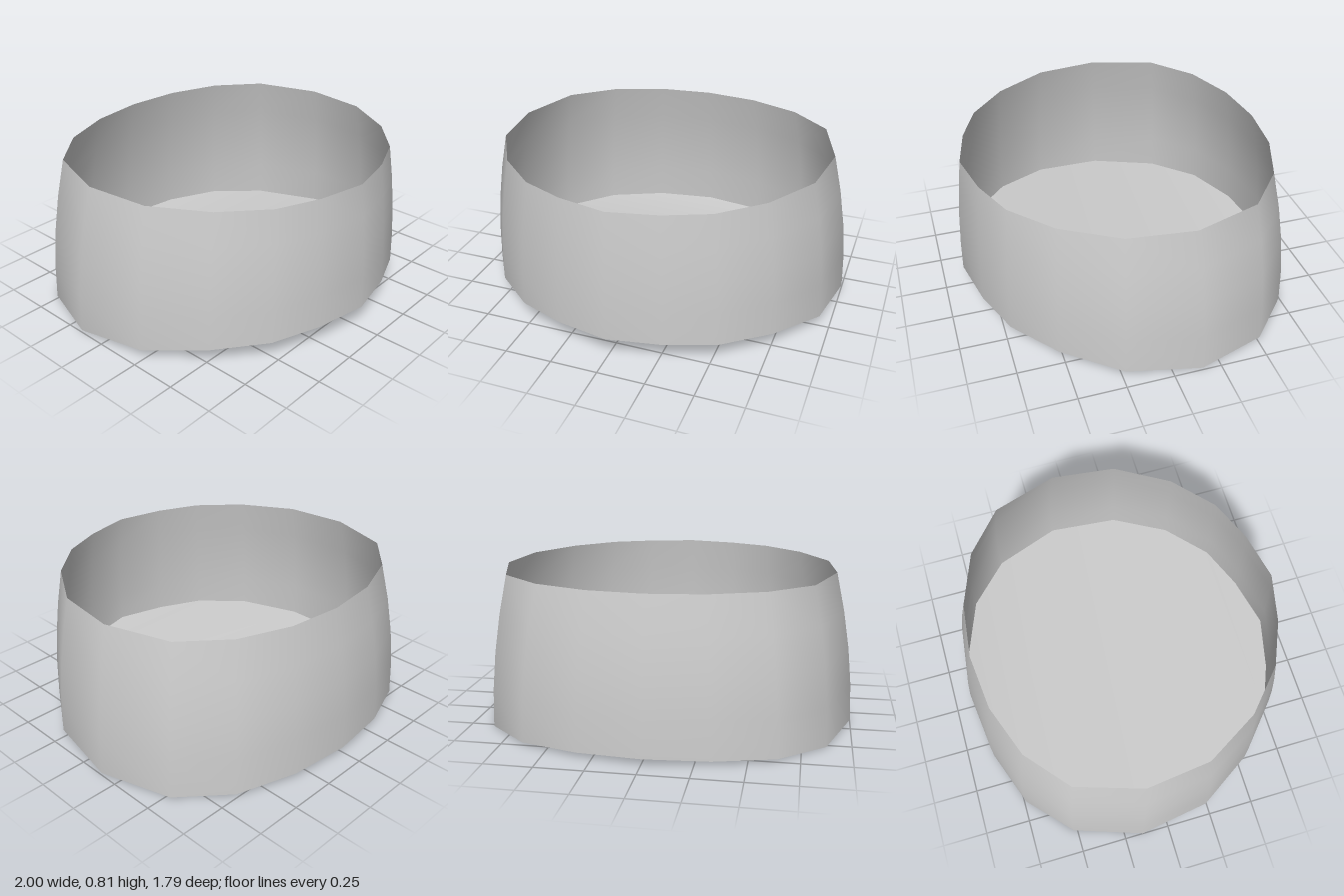
import * as THREE from 'three';

// Half outline from front to back: base x, base y, base z, rim x, rim z
const HALF = [
  [0, 0.127, 0.892, 0, 0.84],
  [0.28, 0.119, 0.83, 0.255, 0.785],
  [0.53, 0.111, 0.73, 0.48, 0.69],
  [0.76, 0.096, 0.53, 0.69, 0.5],
  [0.945, 0.053, 0.24, 0.855, 0.22],
  [1, 0.016, -0.15, 0.895, -0.12],
  [0.873, 0.002, -0.52, 0.785, -0.465],
  [0.64, 0.013, -0.74, 0.565, -0.655],
  [0.332, 0.027, -0.853, 0.29, -0.758],
  [0, 0.033, -0.893, 0, -0.79],
];
const RIM_Y = 0.814;
const ROWS = 4;

function makeMesh(name, positions, indices, material) {
  const geometry = new THREE.BufferGeometry();
  geometry.setAttribute('position', new THREE.Float32BufferAttribute(positions, 3));
  geometry.setIndex(indices);
  geometry.computeVertexNormals();
  const mesh = new THREE.Mesh(geometry, material);
  mesh.name = name;
  return mesh;
}

export function createModel() {
  const group = new THREE.Group();
  group.name = 'openCup';
  const material = new THREE.MeshStandardMaterial({ color: 0xcccccc, side: THREE.DoubleSide });

  // Mirror the half outline into a closed ring
  const mirrored = HALF.slice(1, -1).reverse().map(([bx, by, bz, rx, rz]) => [-bx, by, bz, -rx, rz]);
  const ring = [...HALF, ...mirrored];
  const n = ring.length;

  // Thin wall that curves inward toward the rim
  const wall = [], wallFaces = [];
  for (let j = 0; j <= ROWS; j++) {
    const t = j / ROWS, inset = t ** 1.9;
    for (const [bx, by, bz, rx, rz] of ring) {
      wall.push(
        THREE.MathUtils.lerp(bx, rx, inset),
        THREE.MathUtils.lerp(by, RIM_Y, t),
        THREE.MathUtils.lerp(bz, rz, inset));
    }
  }
  for (let j = 0; j < ROWS; j++) {
    for (let i = 0; i < n; i++) {
      const a = j * n + i, b = j * n + (i + 1) % n;
      wallFaces.push(a, b, a + n, b, b + n, a + n);
    }
  }
  group.add(makeMesh('wall', wall, wallFaces, material));

  // Gently curved floor, bridged across between mirrored points
  const floor = ring.flatMap(([x, y, z]) => [x, y, z]);
  const floorFaces = [];
  for (let k = 0; k < HALF.length - 1; k++) {
    const r = k, l = (n - k) % n, r2 = k + 1, l2 = n - k - 1;
    if (r !== l) floorFaces.push(r, l, l2);
    if (r2 !== l2) floorFaces.push(r, l2, r2);
  }
  group.add(makeMesh('floor', floor, floorFaces, material));

  return group;
}
